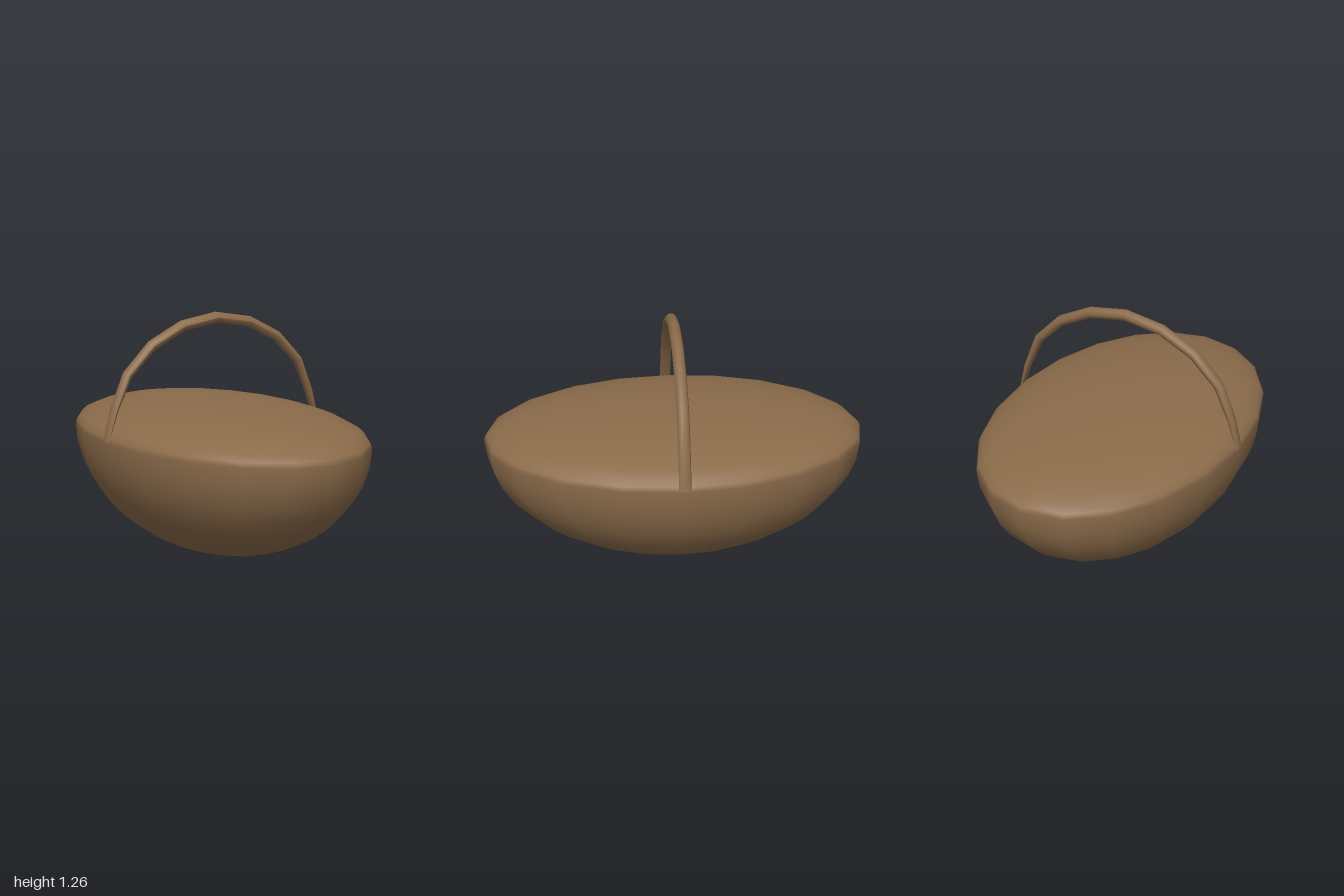
import * as THREE from 'three';

const RIM_Y = 0.64, RX = 0.66, RZ = 1.0;

export function createModel() {
  const group = new THREE.Group();
  const wicker = new THREE.MeshStandardMaterial({ color: 0x8b6b4a, side: THREE.DoubleSide });

  const add = (name, geometry) => {
    const mesh = new THREE.Mesh(geometry, wicker);
    mesh.name = name;
    group.add(mesh);
    return mesh;
  };

  // Bowl: lower half of an ellipsoid
  const bowl = add('bowl', new THREE.SphereGeometry(1, 20, 10, 0, Math.PI * 2, Math.PI / 2, Math.PI / 2));
  bowl.scale.set(RX, RIM_Y, RZ);
  bowl.position.y = RIM_Y;

  // Lid: shallow dome sharing the bowl's rim
  const lid = add('lid', new THREE.SphereGeometry(1, 20, 10, 0, Math.PI * 2, 0, Math.PI / 2));
  lid.scale.set(RX, 0.165, RZ);
  lid.position.y = RIM_Y;

  // Handle: arch over the middle, thinning sideways toward the rim
  add('handle', handleGeometry());

  return group;
}

// Bends an open cylinder along the arch, one row of vertices per station
function handleGeometry() {
  // Half of the arch, rim to top: x, y, half thickness in the plane of the arch
  const half = [
    [0.655, 0.65, 0.006], [0.608, 0.8, 0.018], [0.529, 0.975, 0.025],
    [0.387, 1.113, 0.028], [0.204, 1.203, 0.029], [0, 1.235, 0.03],
  ];
  const stations = [...half, ...half.slice(0, -1).reverse().map(([x, y, t]) => [-x, y, t])];
  const last = stations.length - 1;

  const geometry = new THREE.CylinderGeometry(1, 1, 1, 10, last, true);
  const pos = geometry.attributes.position;
  for (let i = 0; i < pos.count; i++) {
    const k = Math.round((pos.getY(i) + 0.5) * last);
    const [x, y, t] = stations[k];
    const a = stations[Math.max(k - 1, 0)], b = stations[Math.min(k + 1, last)];
    const dx = b[0] - a[0], dy = b[1] - a[1], len = Math.hypot(dx, dy);
    const out = pos.getX(i) * t;
    pos.setXYZ(i, x + (dy / len) * out, y - (dx / len) * out, pos.getZ(i) * 0.03);
  }
  geometry.computeVertexNormals();
  return geometry;
}
